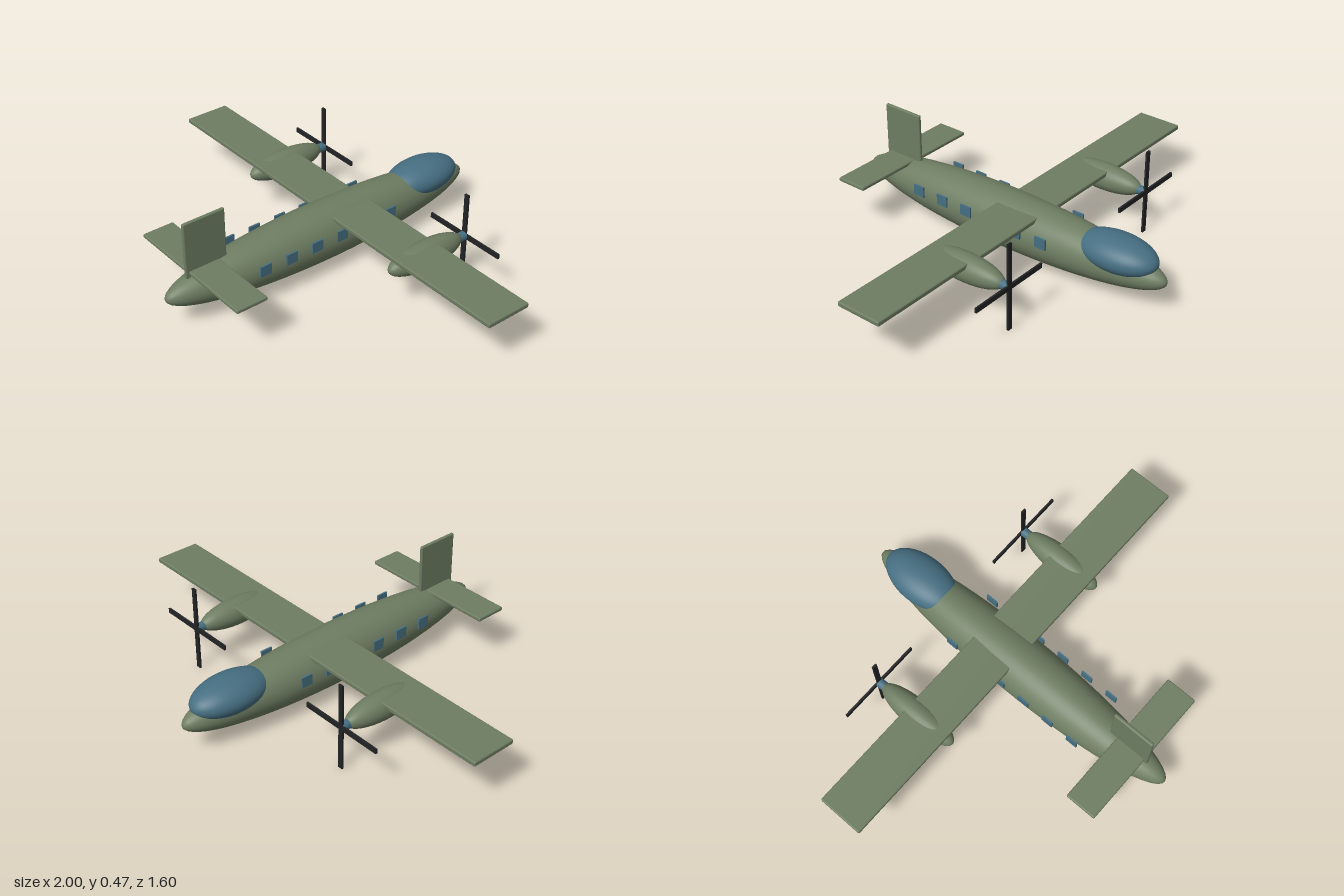
import * as THREE from 'three';
import { RoundedBoxGeometry } from 'three/addons/geometries/RoundedBoxGeometry.js';

const paint = (name, color) => {
  const m = new THREE.MeshStandardMaterial({ color });
  m.name = name;
  return m;
};

export function createModel() {
  const olive = paint('olive paint', 0x6e7d62);
  const glass = paint('blue glass', 0x466f82);
  const black = paint('black blades', 0x222325);
  const plane = new THREE.Group();
  plane.name = 'propellerPlane';

  const add = (parent, name, geometry, material, x, y, z) => {
    const mesh = new THREE.Mesh(geometry, material);
    mesh.name = name;
    mesh.position.set(x, y, z);
    parent.add(mesh);
    return mesh;
  };
  // ellipsoid with its poles along z
  const ellipsoid = (rx, ry, rz) =>
    new THREE.SphereGeometry(1, 40, 28).rotateX(Math.PI / 2).scale(rx, ry, rz);

  // body and canopy
  add(plane, 'fuselage', ellipsoid(0.129, 0.125, 0.8), olive, 0, 0.15, 0);
  add(plane, 'cockpitCanopy', ellipsoid(0.108, 0.077, 0.19), glass, 0, 0.204, -0.56);

  // flying surfaces with softened edges
  add(plane, 'wing', new RoundedBoxGeometry(2, 0.022, 0.212, 2, 0.006), olive, 0, 0.243, -0.096);
  add(plane, 'tailplane', new RoundedBoxGeometry(0.664, 0.018, 0.146, 2, 0.006), olive, 0, 0.234, 0.613);
  add(plane, 'tailFin', new RoundedBoxGeometry(0.016, 0.26, 0.198, 2, 0.006), olive, 0, 0.34, 0.602);

  for (const side of [-1, 1]) {
    const label = side > 0 ? 'left' : 'right';

    // engine with spinner and crossed blades
    const engine = new THREE.Group();
    engine.name = `${label}Engine`;
    engine.position.set(side * 0.466, 0.203, 0);
    plane.add(engine);
    add(engine, 'nacelle', ellipsoid(0.061, 0.061, 0.197), olive, 0, 0.002, -0.16);
    add(engine, 'propellerHub', new THREE.CylinderGeometry(0.021, 0.021, 0.05, 20).rotateX(Math.PI / 2),
      glass, 0, 0, -0.355);
    add(engine, 'verticalBlades', new THREE.BoxGeometry(0.022, 0.4, 0.009), black, 0, 0, -0.381);
    add(engine, 'horizontalBlades', new THREE.BoxGeometry(0.4, 0.022, 0.009), black, 0, 0, -0.381);

    // row of cabin windows
    for (let i = 0; i < 6; i++) {
      add(plane, `${label}Window${i + 1}`, new THREE.BoxGeometry(0.008, 0.05, 0.055), glass,
        side * 0.13, 0.19, 0.4 - i * 0.1335);
    }
  }
  // stand the lowest blade tip on the ground
  plane.position.y = -0.003;
  return plane;
}
